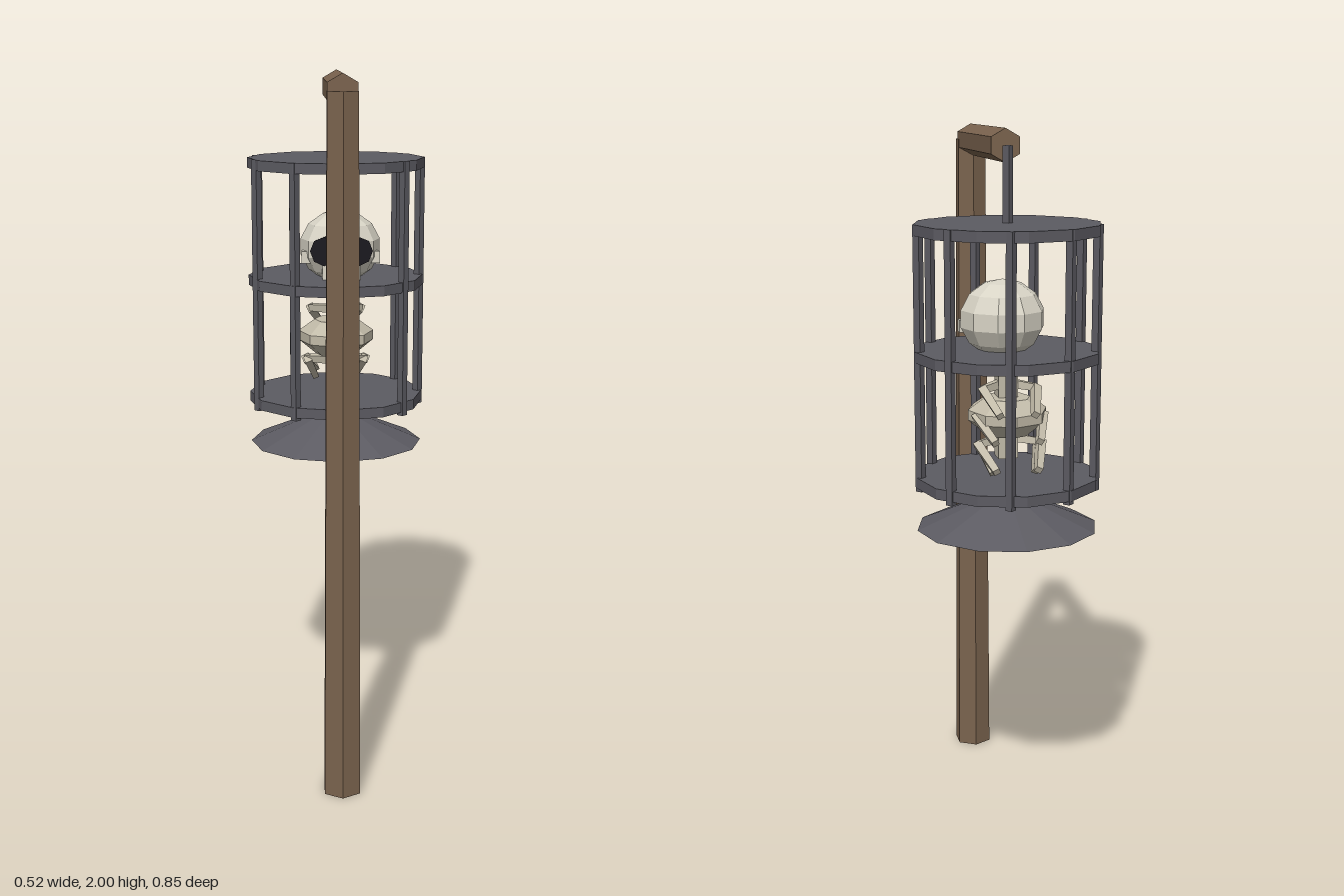
import * as THREE from 'three';

const mat = (color) => new THREE.MeshStandardMaterial({ color, flatShading: true });

export function createModel() {
  const root = new THREE.Group();
  const wood = mat(0x7a634e), iron = mat(0x5c5b62), bone = mat(0xd8d4c6), oldBone = mat(0xc2bba9), dark = mat(0x1b1a20);
  const CZ = -0.165; // cage axis

  const add = (name, geo, material, x, y, z, parent = root) => {
    const m = new THREE.Mesh(geo, material);
    m.name = name;
    m.position.set(x, y, z);
    parent.add(m);
    return m;
  };
  const group = (name) => {
    const g = new THREE.Group();
    g.name = name;
    root.add(g);
    return g;
  };
  // Straight bone between two points
  const strut = (name, a, b, r, material, parent) => {
    const p = new THREE.Vector3(...a), q = new THREE.Vector3(...b), d = q.clone().sub(p);
    const m = add(name, new THREE.CylinderGeometry(r * 0.8, r, d.length(), 4), material, 0, 0, 0, parent);
    m.position.copy(p).add(q).multiplyScalar(0.5);
    m.quaternion.setFromUnitVectors(new THREE.Vector3(0, 1, 0), d.normalize());
    return m;
  };

  // Gibbet post and arm
  add('post', new THREE.CylinderGeometry(0.047, 0.058, 1.955, 6), wood, 0, 0.9775, 0.367);
  const arm = new THREE.CylinderGeometry(0.046, 0.046, 0.503, 6).rotateX(Math.PI / 2);
  add('arm', arm, wood, 0, 1.954, 0.115);

  // Hanging cage: three plates, nine bars and a cone underneath
  const cage = group('cage');
  add('hangingRod', new THREE.CylinderGeometry(0.0145, 0.0145, 0.23, 4), iron, 0, 1.84, CZ, cage);
  for (const y of [1.735, 1.39, 1.035])
    add('plate', new THREE.CylinderGeometry(0.26, 0.26, 0.03, 12), iron, 0, y, CZ, cage);
  for (let i = 0; i < 9; i++) {
    const a = (i / 9) * Math.PI * 2;
    add('bar', new THREE.CylinderGeometry(0.0145, 0.0145, 0.74, 4), iron,
      Math.cos(a) * 0.247, 1.38, CZ + Math.sin(a) * 0.247, cage);
  }
  add('bottomCone', new THREE.ConeGeometry(0.258, 0.11, 12), iron, 0, 0.95, CZ, cage);

  // Skull resting on the middle plate
  const skull = group('skull');
  skull.position.set(0.012, 1.49, -0.155);
  add('cranium', new THREE.SphereGeometry(1, 10, 7).scale(0.12, 0.108, 0.125), bone, 0, 0, 0, skull);
  add('jaw', new THREE.BoxGeometry(0.11, 0.08, 0.09), bone, 0, -0.078, 0.06, skull);
  add('nose', new THREE.ConeGeometry(0.016, 0.03, 3).rotateY(Math.PI), dark, 0, -0.04, 0.117, skull);
  for (const s of [-1, 1]) {
    const eye = new THREE.CylinderGeometry(0.042, 0.042, 0.04, 8).rotateX(Math.PI / 2);
    add('eyeSocket', eye, dark, s * 0.045, 0, 0.104, skull).rotation.y = s * 0.3;
    add('cheekbone', new THREE.BoxGeometry(0.03, 0.035, 0.03), bone, s * 0.1, -0.025, 0.045, skull);
  }

  // Ribcage, spine and drooping ribs
  const torso = group('skeletonTorso');
  const chest = [[0, 1.165], [0.065, 1.165], [0.122, 1.208], [0.122, 1.236], [0.07, 1.27], [0, 1.27]]
    .map(([x, y]) => new THREE.Vector2(x, y));
  add('chest', new THREE.LatheGeometry(chest, 8).scale(0.92, 1, 1.03), oldBone, 0, 0, CZ, torso);
  add('spine', new THREE.BoxGeometry(0.055, 0.25, 0.055), oldBone, 0, 1.22, -0.152, torso);
  for (const s of [-1, 1]) {
    for (const [y, w] of [[1.3, 0.075], [1.225, 0.095], [1.145, 0.09]]) {
      strut('ribRoot', [s * 0.015, y + 0.005, -0.15], [s * w, y, -0.2], 0.017, oldBone, torso);
      strut('ribEnd', [s * w, y, -0.195], [s * w * 0.65, y - 0.055, -0.305], 0.017, oldBone, torso);
    }
    strut('hipBone', [s * 0.085, 1.145, -0.18], [s * 0.06, 1.075, -0.26], 0.016, oldBone, torso);
  }
  return root;
}
